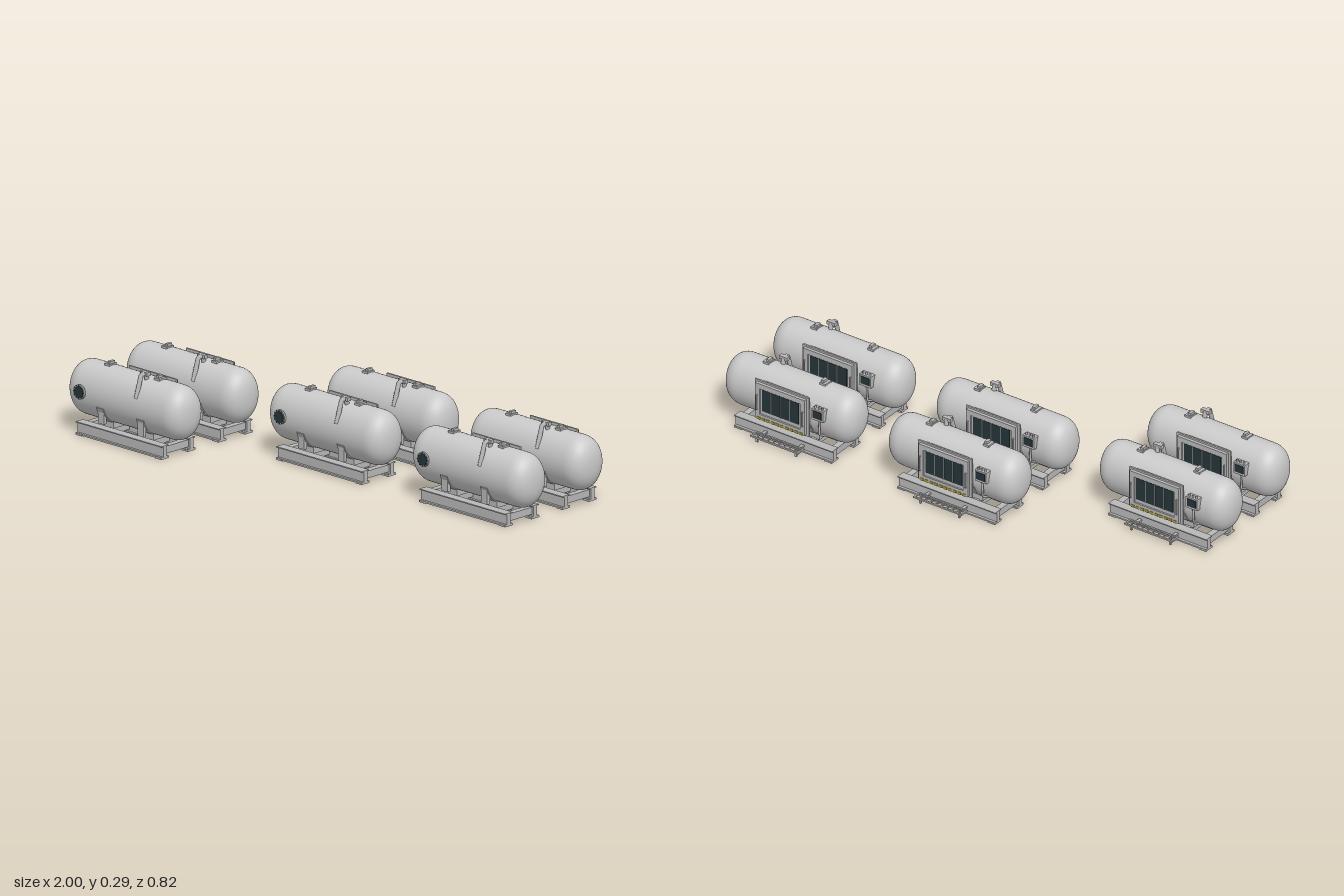
import * as THREE from 'three';

const mat = (name, color, side = THREE.FrontSide) => {
  const m = new THREE.MeshStandardMaterial({ color, side });
  m.name = name;
  return m;
};

// Tank ellipse: centre height, vertical and horizontal radius, half length
const CY = 0.16, RY = 0.1025, RZ = 0.0835, HALF = 0.286;

export function createModel() {
  const shell = mat('light grey shell', 0xcacaca);
  const steel = mat('grey steel', 0xb8b8b8);
  const glass = mat('dark glass', 0x25343a);
  const yellow = mat('yellow marking', 0xb9a32c);

  function add(parent, name, geo, material, x = 0, y = 0, z = 0) {
    const m = new THREE.Mesh(geo, material);
    m.name = name;
    m.position.set(x, y, z);
    parent.add(m);
    return m;
  }
  // Box given by its limits on each axis
  const box = (parent, name, material, x0, x1, y0, y1, z0, z1) =>
    add(parent, name, new THREE.BoxGeometry(x1 - x0, y1 - y0, z1 - z0), material,
      (x0 + x1) / 2, (y0 + y1) / 2, (z0 + z1) / 2);
  const tube = (parent, name, pts, r, material) => {
    const path = new THREE.CurvePath();
    const v = pts.map(p => new THREE.Vector3(...p));
    for (let i = 1; i < v.length; i++) path.add(new THREE.LineCurve3(v[i - 1], v[i]));
    return add(parent, name, new THREE.TubeGeometry(path, 24, r, 10), material);
  };
  // Rectangular frame in the xy plane, extruded along z
  const frameGeo = (w, h, t, depth) => {
    const rect = (P, a, b) => {
      const p = new P();
      p.moveTo(-a, -b); p.lineTo(a, -b); p.lineTo(a, b); p.lineTo(-a, b); p.closePath();
      return p;
    };
    const s = rect(THREE.Shape, w / 2, h / 2);
    s.holes.push(rect(THREE.Path, w / 2 - t, h / 2 - t));
    return new THREE.ExtrudeGeometry(s, { depth, bevelEnabled: false });
  };

  function makeUnit() {
    const u = new THREE.Group();

    // Domed tank: superelliptic ends on a straight barrel
    const cap = 0.075, half = [];
    for (let i = 0; i <= 12; i++) {
      const t = (i / 12) * Math.PI / 2;
      half.push([Math.sin(t) ** 0.85, HALF - cap + cap * Math.cos(t) ** 0.85]);
    }
    half[12][1] = HALF - cap;
    const profile = [
      ...half.map(([r, x]) => new THREE.Vector2(r, -x)),
      ...half.slice().reverse().map(([r, x]) => new THREE.Vector2(r, x)),
    ];
    const tankGeo = new THREE.LatheGeometry(profile, 48);
    tankGeo.rotateZ(-Math.PI / 2);
    tankGeo.scale(1, RY, RZ);
    add(u, 'tank', tankGeo, shell, 0, CY, 0);

    for (const s of [-1, 1]) {
      // Thin band around the barrel
      const band = new THREE.CylinderGeometry(1.006, 1.006, 0.035, 48, 1, true);
      band.rotateZ(Math.PI / 2);
      band.scale(1, RY, RZ);
      add(u, 'band', band, shell, s * 0.1, CY, 0);

      // Saddle: crescent under the barrel and a pedestal block
      const cres = new THREE.Shape();
      cres.absellipse(0, 0, RZ * 1.035, RY * 1.035, Math.PI * 1.12, Math.PI * 1.88, false);
      cres.absellipse(0, 0, RZ * 0.97, RY * 0.97, Math.PI * 1.88, Math.PI * 1.12, true);
      const cg = new THREE.ExtrudeGeometry(cres, { depth: 0.035, bevelEnabled: false, curveSegments: 24 });
      cg.translate(0, 0, -0.0175);
      cg.rotateY(Math.PI / 2);
      add(u, 'saddle', cg, steel, s * 0.1, CY, 0);
      box(u, 'saddlePedestal', steel, s * 0.1 - 0.022, s * 0.1 + 0.022, 0.04, 0.066, -0.033, 0.033);

      // Lifting lug on top
      box(u, 'topPad', steel, s * 0.124 - 0.013, s * 0.124 + 0.013, 0.25, 0.268, -0.018, 0.018);
      box(u, 'topLug', steel, s * 0.12 - 0.006, s * 0.12 + 0.006, 0.262, 0.277, -0.012, 0.012);

      // I-beam skid rail
      const z = s * 0.067;
      box(u, 'railBottomFlange', steel, -0.214, 0.214, 0.002, 0.008, z - 0.019, z + 0.019);
      box(u, 'railWeb', steel, -0.214, 0.214, 0.008, 0.045, z - 0.009, z + 0.009);
      box(u, 'railTopFlange', steel, -0.214, 0.214, 0.045, 0.049, z - 0.018, z + 0.018);
      for (const e of [-1, 1])
        box(u, 'foot', steel, e * 0.198 - 0.016, e * 0.198 + 0.016, 0, 0.006, z - 0.02, z + 0.02);
    }
    // Cross beams
    for (const x of [-0.195, -0.1, 0.1, 0.195])
      box(u, 'crossBeam', steel, x - 0.012, x + 0.012, 0.015, 0.042, -0.06, 0.06);

    // Round porthole on the front
    const disc = (name, r, d, m, z) => {
      const g = new THREE.CylinderGeometry(r, r, d, 24);
      g.rotateX(Math.PI / 2);
      return add(u, name, g, m, -0.19, 0.165, z);
    };
    disc('portholeNeck', 0.022, 0.03, steel, 0.076);
    disc('portholeFlange', 0.027, 0.007, steel, 0.0905);
    disc('portholeGlass', 0.022, 0.002, glass, 0.095);
    for (let i = 0; i < 12; i++) {
      const a = i * Math.PI / 6, g = new THREE.CylinderGeometry(0.002, 0.002, 0.003, 6);
      g.rotateX(Math.PI / 2);
      add(u, 'portholeBolt', g, glass, -0.19 + 0.0245 * Math.cos(a), 0.165 + 0.0245 * Math.sin(a), 0.095);
    }

    // Vent pipe over the top, down the front, with a drain stub below
    tube(u, 'ventPipe', [[0.078, 0.255, 0.022], [0.078, 0.279, 0.026], [0.078, 0.279, 0.05],
      [0.078, 0.262, 0.056], [0.078, 0.195, 0.076]], 0.0085, steel);
    box(u, 'ventFlange', steel, 0.06, 0.096, 0.273, 0.287, 0.022, 0.038);
    box(u, 'drainStub', steel, 0.086, 0.116, 0.06, 0.118, 0.064, 0.077);
    box(u, 'frontBracket', steel, -0.115, -0.085, 0.062, 0.118, 0.06, 0.074);

    // Rear window housing
    box(u, 'windowNeck', steel, -0.1, 0.1, 0.1, 0.225, -0.088, -0.04);
    box(u, 'windowPlate', steel, -0.118, 0.118, 0.08, 0.24, -0.093, -0.086);
    add(u, 'windowFrame', frameGeo(0.216, 0.146, 0.02, 0.012), steel, 0, 0.16, -0.105);
    box(u, 'windowPanel', steel, -0.09, 0.09, 0.1, 0.225, -0.099, -0.093);
    box(u, 'window', glass, -0.08, 0.08, 0.122, 0.21, -0.102, -0.099);
    for (const x of [-0.04, 0, 0.04])
      box(u, 'windowBar', steel, x - 0.001, x + 0.001, 0.122, 0.21, -0.104, -0.102);
    for (const s of [-1, 1])
      tube(u, 'windowHandle', [[s * 0.1, 0.125, -0.104], [s * 0.1, 0.127, -0.11],
        [s * 0.1, 0.183, -0.11], [s * 0.1, 0.185, -0.104]], 0.0025, steel);
    for (let i = 0; i < 10; i++) {
      const x = -0.099 + i * 0.0205;
      box(u, 'warningStripe', yellow, x, x + 0.014, 0.086, 0.096, -0.107, -0.105);
    }

    // Control box beside the window, with its conduit
    box(u, 'controlBox', steel, -0.185, -0.135, 0.165, 0.21, -0.1, -0.07);
    box(u, 'controlScreen', glass, -0.179, -0.141, 0.174, 0.204, -0.102, -0.1);
    tube(u, 'conduit', [[-0.16, 0.166, -0.089], [-0.16, 0.1, -0.085], [-0.16, 0.08, -0.05]], 0.004, steel);
    for (const x of [-0.175, -0.16, -0.145])
      tube(u, 'controlKnob', [[x, 0.208, -0.09], [x, 0.222, -0.09]], 0.004, steel);

    // Open step grating behind the skid
    const grate = frameGeo(0.212, 0.038, 0.006, 0.006);
    grate.rotateX(Math.PI / 2);
    add(u, 'stepFrame', grate, steel, 0, 0.032, -0.121);
    for (let i = 1; i < 9; i++) {
      const x = -0.106 + i * 0.212 / 9;
      box(u, 'stepBar', steel, x - 0.002, x + 0.002, 0.027, 0.031, -0.137, -0.105);
    }
    for (const s of [-1, 1]) {
      box(u, 'stepArm', steel, s * 0.08 - 0.006, s * 0.08 + 0.006, 0.02, 0.027, -0.11, -0.06);
      box(u, 'stepLeg', steel, s * 0.085 - 0.004, s * 0.085 + 0.004, 0.004, 0.027, -0.128, -0.12);
    }
    return u;
  }

  // Six identical units on a staggered grid
  const model = new THREE.Group();
  model.name = 'pressureTankArray';
  const unit = makeUnit();
  const spots = [[-0.714, 0.313], [-0.714, 0.024], [0, 0.024], [0, -0.266], [0.714, 0.024], [0.714, -0.266]];
  spots.forEach(([x, z], i) => {
    const c = unit.clone();
    c.name = `tankUnit${i + 1}`;
    c.position.set(x, 0, z);
    model.add(c);
  });
  return model;
}
